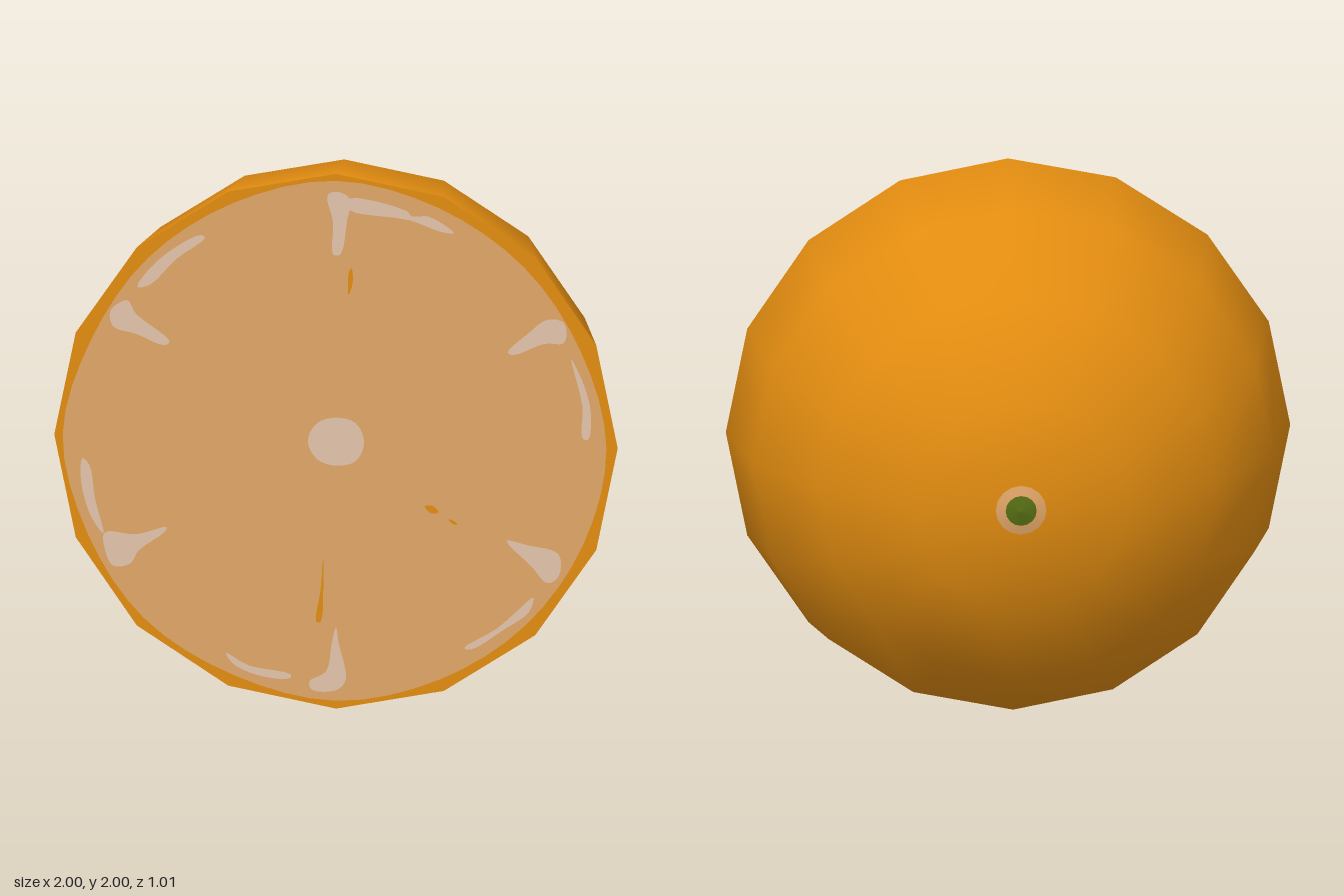
import * as THREE from 'three';

const CUT_Z = 0.5; // plane of the cut face

// wedge-shaped pith marks between the segments, as flat x, y lists
const WEDGES = [
  [-.03, 1.92, 0, 1.935, .05, 1.91, .04, 1.83, .015, 1.70, -.01, 1.70, -.01, 1.82],
  [-.80, 1.47, -.74, 1.51, -.71, 1.46, -.59, 1.36, -.61, 1.345, -.71, 1.385, -.79, 1.41],
  [.61, 1.35, .68, 1.42, .75, 1.475, .81, 1.465, .81, 1.39, .74, 1.385, .63, 1.34],
  [-.60, .665, -.71, .635, -.82, .64, -.82, .575, -.79, .515, -.73, .525, -.70, .575, -.61, .645],
  [.605, .645, .68, .63, .79, .60, .79, .515, .75, .49, .695, .55],
  [0, .305, .01, .245, .035, .11, 0, .07, -.085, .07, -.095, .10, -.035, .14, -.015, .245],
];

// thin pith streaks beside the rind
const STREAKS = [
  [.04, 1.91, .25, 1.87, .27, 1.85, .33, 1.85, .42, 1.79, .37, 1.795, .26, 1.835, .04, 1.87],
  [-.705, 1.56, -.67, 1.62, -.58, 1.705, -.48, 1.76, -.465, 1.75, -.565, 1.67, -.66, 1.57],
  [.835, 1.33, .88, 1.235, .905, 1.13, .895, 1.03, .875, 1.035, .875, 1.155],
  [-.90, .915, -.875, .89, -.855, .765, -.825, .635, -.87, .70, -.905, .83],
  [-.39, .20, -.31, .155, -.16, .125, -.165, .11, -.28, .12, -.365, .16],
  [.70, .435, .685, .38, .60, .315, .48, .235, .455, .24, .57, .315, .64, .38],
];

// small rind-coloured flecks in the flesh
const FLECKS = [
  [.045, 1.55, .045, 1.63, .055, 1.65, .06, 1.60],
  [-.045, .56, -.045, .44, -.055, .325, -.07, .325, -.055, .44],
  [.315, .765, .34, .77, .365, .745, .34, .74],
  [.40, .72, .425, .71, .43, .70, .41, .705],
];

// flesh radius at every 22.5 degrees, counter-clockwise from +x
const FLESH_RADII = [.96, .94, .945, .955, .975, .955, .945, .94,
  .97, .955, .962, .955, .97, .955, .95, .95];

// flat patch with a smooth closed outline, facing +z
function patch(xy, z, material, name) {
  const points = [];
  for (let i = 0; i < xy.length; i += 2) points.push(new THREE.Vector3(xy[i], xy[i + 1], 0));
  const outline = new THREE.CatmullRomCurve3(points, true).getPoints(points.length * 4);
  outline.pop();
  const shape = new THREE.Shape(outline.map((p) => new THREE.Vector2(p.x, p.y)));
  const mesh = new THREE.Mesh(new THREE.ShapeGeometry(shape), material);
  mesh.position.z = z;
  mesh.name = name;
  return mesh;
}

// x, y outline around the middle of the cut from a list of radii
function radialOutline(radii) {
  return radii.flatMap((r, i) => {
    const a = (i / radii.length) * Math.PI * 2;
    return [r * Math.cos(a), 1 + r * Math.sin(a)];
  });
}

export function createModel() {
  const colour = (name, hex) => new THREE.MeshStandardMaterial({ name, color: hex });
  const rind = colour('orange rind', 0xe28c10);
  const flesh = colour('pale orange flesh', 0xe2a668);
  const pith = colour('whitish pith', 0xe4c4ac);
  const green = colour('stem green', 0x566e14);

  const model = new THREE.Group();
  model.name = 'halfOrange';

  // domed peel with its pole at the back
  const peel = new THREE.Mesh(
    new THREE.SphereGeometry(1, 16, 4, 0, Math.PI * 2, 0, Math.PI / 2).rotateX(-Math.PI / 2), rind);
  peel.position.set(0, 1, CUT_Z);
  peel.name = 'peel';
  model.add(peel);

  // cut face: rind edge, then flesh on top of it
  const rim = new THREE.Mesh(new THREE.CircleGeometry(1, 16), rind);
  rim.position.set(0, 1, CUT_Z);
  rim.name = 'rindEdge';
  model.add(rim);
  model.add(patch(radialOutline(FLESH_RADII), CUT_Z + 0.002, flesh, 'flesh'));

  // pith core, wedges, streaks and flecks
  model.add(patch(radialOutline([.1, .1, .09, .095, .1, .095, .09, .1]), CUT_Z + 0.004, pith, 'core'));
  WEDGES.forEach((xy) => model.add(patch(xy, CUT_Z + 0.004, pith, 'pithWedge')));
  STREAKS.forEach((xy) => model.add(patch(xy, CUT_Z + 0.004, pith, 'pithStreak')));
  FLECKS.forEach((xy) => model.add(patch(xy, CUT_Z + 0.004, rind, 'fleck')));

  // stem scar: shallow cones lying on the back pole
  const scar = (radius, lift, material, name) => {
    const slope = (1 - Math.cos(Math.PI / 8)) / Math.sin(Math.PI / 8);
    const geometry = new THREE.ConeGeometry(radius, radius * slope, 16, 1, true);
    geometry.translate(0, -radius * slope / 2, 0).rotateX(-Math.PI / 2);
    const mesh = new THREE.Mesh(geometry, material);
    mesh.position.set(0, 1, -0.5 - lift);
    mesh.name = name;
    model.add(mesh);
  };
  scar(0.09, 0.002, flesh, 'stemRing');
  scar(0.055, 0.004, green, 'stemScar');

  return model;
}
